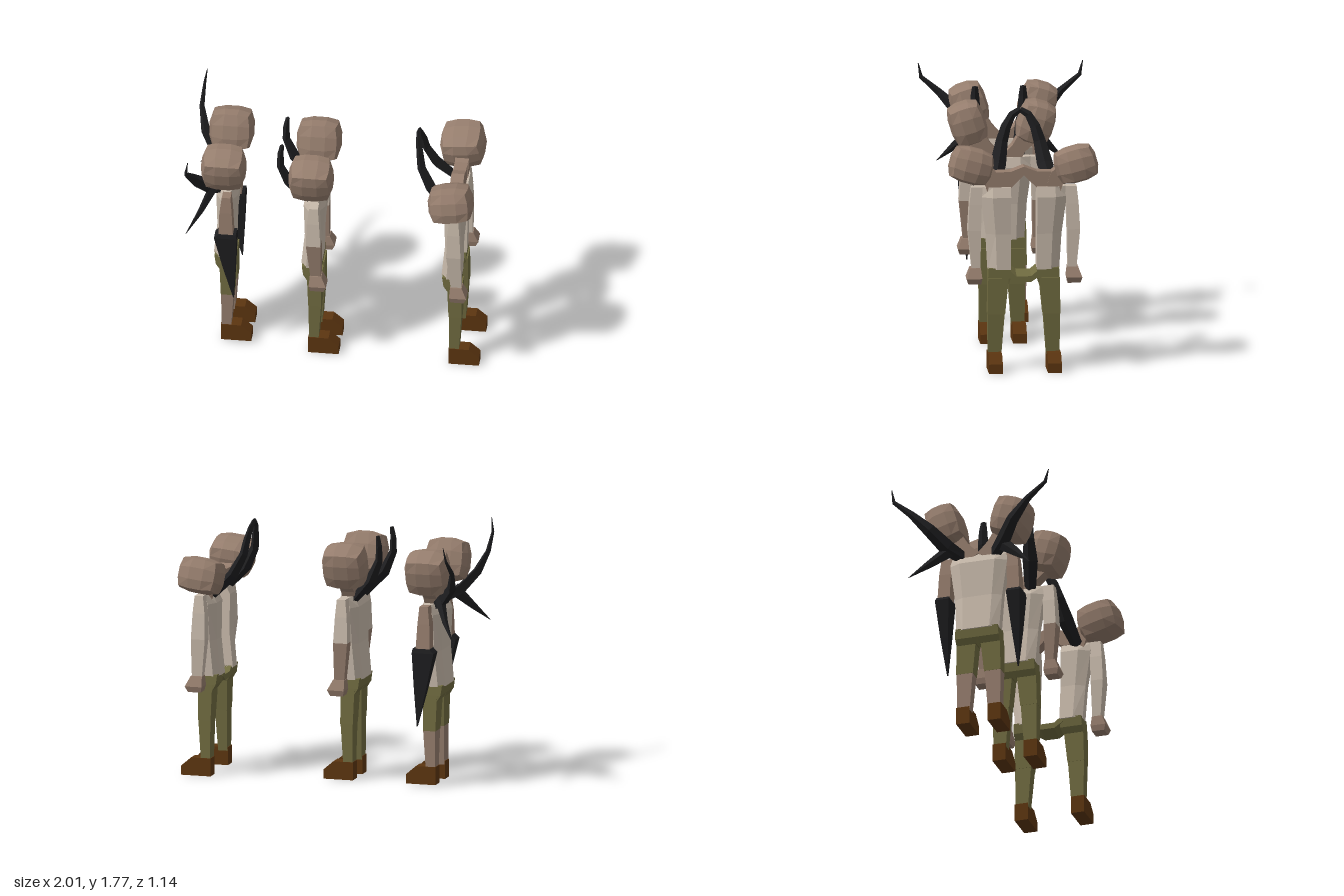
import * as THREE from 'three';

const mat = (color) => new THREE.MeshStandardMaterial({ color, flatShading: true });
const V = (x, y, z) => new THREE.Vector3(x, y, z);

// Closed faceted solid through loops of points; triangles are turned outward
function loft(loops) {
  const tris = [];
  const n = loops[0].length;
  for (let i = 0; i + 1 < loops.length; i++) {
    for (let j = 0; j < n; j++) {
      const k = (j + 1) % n;
      const [a, b, c, d] = [loops[i][j], loops[i][k], loops[i + 1][k], loops[i + 1][j]];
      tris.push([a, b, c], [a, c, d]);
    }
  }
  const first = loops[0], last = loops[loops.length - 1];
  for (let j = 1; j + 1 < n; j++) {
    tris.push([first[0], first[j + 1], first[j]], [last[0], last[j], last[j + 1]]);
  }
  let volume = 0;
  for (const [a, b, c] of tris) {
    volume += a.clone().sub(first[0]).dot(b.clone().sub(first[0]).cross(c.clone().sub(first[0])));
  }
  const points = tris.flatMap(([a, b, c]) => (volume < 0 ? [a, c, b] : [a, b, c]));
  const geo = new THREE.BufferGeometry().setFromPoints(points);
  geo.computeVertexNormals();
  return geo;
}

// Horizontal rectangle at height y
const rect = (y, x0, x1, z0, z1) => [V(x0, y, z0), V(x1, y, z0), V(x1, y, z1), V(x0, y, z1)];

// Half of the torso outline, flat along the middle of the body
const halfRing = (y, x0, x1, w) => [
  V(x0, y, 0), V(x0, y, w * 0.62), V(x0 + (x1 - x0) * 0.28, y, w),
  V(x0 + (x1 - x0) * 0.72, y, w), V(x1, y, w * 0.62), V(x1, y, 0),
];

// Tapered four-sided sweep through [x, y, z, radius]
function sweep(path) {
  const p = path.map(([x, y, z]) => V(x, y, z));
  return path.map(([, , , r], i) => {
    const t = p[Math.min(i + 1, p.length - 1)].clone().sub(p[Math.max(i - 1, 0)]).normalize();
    const u = V(1, 0.2, 0).cross(t).normalize();
    const v = t.clone().cross(u);
    return [[1, 0], [0, 0.7], [-1, 0], [0, -0.7]].map(([a, b]) =>
      p[i].clone().addScaledVector(u, a * r).addScaledVector(v, b * r));
  });
}

// Boxy head with bulging sides
function headGeometry() {
  const geo = new THREE.BoxGeometry(1, 1, 1, 3, 3, 3).toNonIndexed();
  const pos = geo.attributes.position;
  const p = V(0, 0, 0);
  for (let i = 0; i < pos.count; i++) {
    p.fromBufferAttribute(pos, i);
    p.lerp(p.clone().setLength(0.625), 0.6).divideScalar(1.07);
    pos.setXYZ(i, p.x, p.y, p.z);
  }
  geo.scale(0.3, 0.29, 0.245);
  return geo;
}

// Horn paths: forked, upright and joined at the top
const forked = [
  [[0.02, 1.26, 0.1, 0.04], [-0.07, 1.32, 0.2, 0.055], [-0.16, 1.43, 0.3, 0.045],
    [-0.2, 1.55, 0.42, 0.025], [-0.195, 1.66, 0.545, 0.014], [-0.18, 1.76, 0.565, 0.003]],
  [[-0.04, 1.32, 0.18, 0.05], [-0.12, 1.19, 0.32, 0.028], [-0.21, 1.07, 0.435, 0.002]],
];
const upright = [
  [[0.01, 1.25, 0.11, 0.04], [-0.13, 1.41, 0.155, 0.055], [-0.19, 1.55, 0.165, 0.038],
    [-0.19, 1.65, 0.165, 0.03], [-0.18, 1.72, 0.165, 0.02]],
];
const joined = [
  [[0.0, 1.26, 0.2, 0.04], [-0.13, 1.4, 0.16, 0.055], [-0.2, 1.54, 0.13, 0.042],
    [-0.215, 1.64, 0.1, 0.035], [-0.23, 1.72, 0.055, 0.026], [-0.235, 1.755, 0, 0.02]],
];

// Two-headed figure facing +x; gap is how far each half sits from its middle
function figure({ name, x, z, gap = 0, lift = 0, horns, blades, bareShins, upperArm, foreArm, head, m }) {
  const g = new THREE.Group();
  g.name = name;
  g.position.set(x, 0, z);
  const add = (part, loops, material, s = 1, shift = 0) => {
    const placed = loops.map((l) => l.map((p) => V(p.x, p.y, s * (p.z + shift))));
    const mesh = new THREE.Mesh(loft(placed), material);
    mesh.name = part;
    g.add(mesh);
  };

  for (const s of [1, -1]) {
    const side = s > 0 ? 'Front' : 'Back';
    // Torso and hips
    add('torso' + side, [
      halfRing(0.7, -0.055, 0.085, 0.155), halfRing(0.95, -0.03, 0.09, 0.17),
      halfRing(1.21, -0.035, 0.115, 0.205), halfRing(1.28, 0, 0.095, 0.2),
    ], m.shirt, s, gap);
    add('hip' + side, [
      rect(0.6, -0.01, 0.075, 0.012, 0.155), rect(0.64, -0.035, 0.08, 0, 0.156),
      rect(0.71, -0.045, 0.08, 0, 0.152),
    ], m.trousers, s, gap);

    // Leg and shoe
    add('thigh' + side, [
      rect(0.39, 0, 0.09, 0.04, 0.16), rect(0.64, -0.01, 0.09, 0.015, 0.156),
    ], m.trousers, s, gap);
    add('shin' + side, [
      rect(0.1 + lift, 0.005, 0.07, 0.065, 0.155), rect(0.39, 0.002, 0.088, 0.043, 0.158),
    ], bareShins ? m.skin : m.trousers, s, gap);
    add('shoe' + side, [0.065, 0.16].map((w) => [
      V(0, lift, w), V(0.21, lift, w), V(0.21, 0.065 + lift, w), V(0.14, 0.125 + lift, w), V(0, 0.125 + lift, w),
    ]), m.shoe, s, gap);

    // Arm, ending in a hand or a long blade
    add('upperArm' + side, [
      rect(0.98, 0, 0.1, 0.207, 0.295), rect(1.16, 0.005, 0.09, 0.2, 0.285), rect(1.28, 0.02, 0.08, 0.195, 0.272),
    ], upperArm, s, gap);
    if (blades) {
      add('armBlade' + side, [
        rect(0.44, 0.097, 0.103, 0.25, 0.258), rect(0.7, 0.03, 0.115, 0.228, 0.285),
        rect(0.96, -0.03, 0.125, 0.207, 0.305), rect(0.99, 0, 0.12, 0.21, 0.3),
      ], m.horn, s, gap);
    } else {
      add('forearm' + side, [
        rect(0.7, 0.03, 0.1, 0.21, 0.268), rect(0.98, 0, 0.1, 0.207, 0.295),
      ], foreArm, s, gap);
      add('hand' + side, [
        rect(0.61, 0.03, 0.12, 0.207, 0.295), rect(0.65, 0.02, 0.14, 0.2, 0.307), rect(0.72, 0.025, 0.105, 0.208, 0.28),
      ], m.skin, s, gap);
    }

    // Neck leaning outward and its head
    const neck = gap
      ? [[0.2, 1.25, 0.045], [0.23, 1.35, 0.045], [0.3, 1.39, 0.055]]
      : [[0.05, 1.25, 0.055], [0.115, 1.34, 0.042], [0.19, 1.43, 0.058]];
    add('neck' + side, neck.map(([nz, ny, r]) => [
      V(-0.01, ny + r * 0.6, nz - r), V(0.085, ny + r * 0.6, nz - r),
      V(0.085, ny - r * 0.6, nz + r), V(-0.01, ny - r * 0.6, nz + r),
    ]), m.skin, s);
    const skull = new THREE.Mesh(headGeometry(), m.skin);
    skull.name = 'head' + side;
    skull.position.set(0.03, head.y, s * head.z);
    skull.rotation.set(s * head.roll, s * head.yaw, 0);
    g.add(skull);

    for (const path of horns) add('horn' + side, sweep(path), m.horn, s);
  }

  // Arched collar and sagging seat between separated halves
  if (gap) {
    const collar = [[-0.26, 1.27, 1.38], [-0.09, 1.27, 1.385], [0, 1.36, 1.42], [0.09, 1.27, 1.385], [0.26, 1.27, 1.38]];
    add('collarArch', collar.map(([cz, lo, hi]) => [
      V(-0.01, lo, cz), V(0.08, lo, cz), V(0.08, hi, cz), V(-0.01, hi, cz),
    ]), m.skin);
    const seat = [[-0.11, 0.65, 0.71], [-0.05, 0.61, 0.66], [0.05, 0.61, 0.66], [0.11, 0.65, 0.71]];
    add('seatBridge', seat.map(([cz, lo, hi]) => [
      V(-0.045, lo + 0.03, cz), V(0.07, lo, cz), V(0.07, hi - 0.01, cz), V(-0.045, hi + 0.02, cz),
    ]), m.trousers);
  }
  return g;
}

export function createModel() {
  const m = {
    shirt: mat(0xc8baab), skin: mat(0x957d6d), trousers: mat(0x706b40),
    shoe: mat(0x5c3510), horn: mat(0x1e1e20),
  };
  const tall = { y: 1.515, z: 0.235, roll: 0.3, yaw: 0 };
  const group = new THREE.Group();
  group.name = 'twoHeadedFigures';
  group.add(
    figure({ name: 'bladeArmedFigure', x: -0.79, z: 0, lift: 0.015, horns: forked, blades: true,
      bareShins: true, upperArm: m.skin, head: tall, m }),
    figure({ name: 'hornedFigure', x: -0.18, z: 0.06, horns: upright,
      upperArm: m.shirt, foreArm: m.skin, head: tall, m }),
    figure({ name: 'splitFigure', x: 0.79, z: -0.01, gap: 0.09, horns: joined,
      upperArm: m.shirt, foreArm: m.shirt, head: { y: 1.425, z: 0.36, roll: 1.3, yaw: 0.12 }, m }),
  );
  return group;
}
